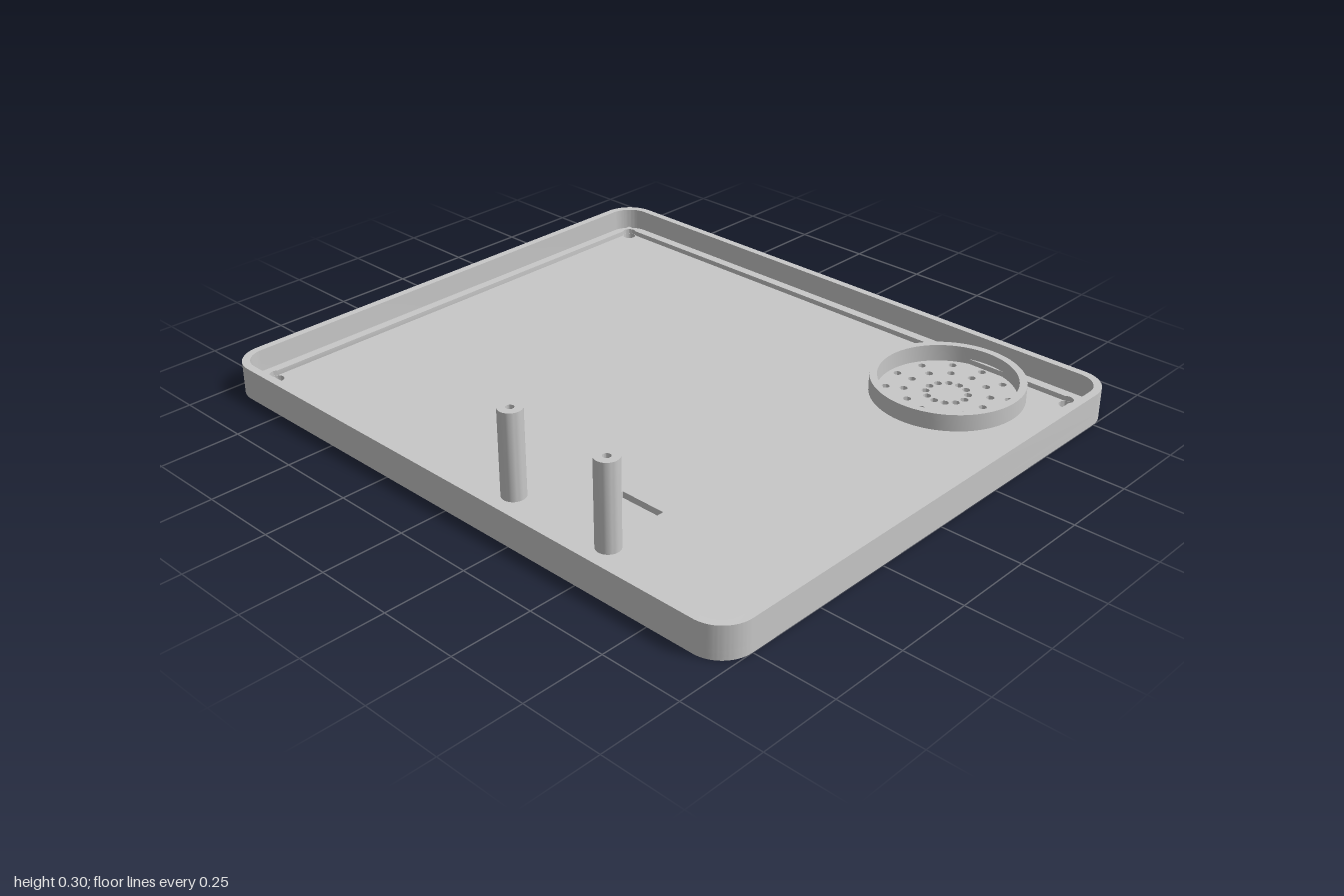
import * as THREE from 'three';
import { toCreasedNormals } from 'three/addons/utils/BufferGeometryUtils.js';

const W = 1, D = 0.851, RIM = 0.1, FLOOR = 0.03, STEP = 0.01;
const SPEAKER = [0.609, -0.57];
const POSTS = [[0.11, 0.703], [0.47, 0.703]];
const CORNERS = [[0.903, 0.753], [-0.903, 0.753], [-0.903, -0.753], [0.903, -0.753]];

// Plan shapes are drawn with y = -z
function roundedRect(w, d, r, Type = THREE.Shape) {
  const s = new Type();
  s.absarc(w - r, d - r, r, 0, Math.PI / 2);
  s.absarc(-w + r, d - r, r, Math.PI / 2, Math.PI);
  s.absarc(-w + r, -d + r, r, Math.PI, Math.PI * 1.5);
  s.absarc(w - r, -d + r, r, Math.PI * 1.5, Math.PI * 2);
  s.closePath();
  return s;
}

function circle([x, z], r, Type = THREE.Path) {
  const p = new Type();
  p.absarc(x, -z, r, 0.1, 0.1 + Math.PI * 2);
  return p;
}

function rect(x0, x1, z0, z1, Type = THREE.Path) {
  return new Type([[x0, -z0], [x0, -z1], [x1, -z1], [x1, -z0]].map(p => new THREE.Vector2(...p)));
}

export function createModel() {
  const group = new THREE.Group();
  const grey = new THREE.MeshStandardMaterial({ color: 0xc8c8c8 });
  grey.name = 'lightGreyPlastic';

  // Raises a plan shape from y0 to y1
  function raise(name, shape, holes, y0, y1, curveSegments = 14) {
    shape.holes.push(...holes);
    const geo = new THREE.ExtrudeGeometry(shape, { depth: y1 - y0, bevelEnabled: false, curveSegments });
    geo.rotateX(-Math.PI / 2).translate(0, y0, 0);
    const mesh = new THREE.Mesh(toCreasedNormals(geo, 0.7), grey);
    mesh.name = name;
    group.add(mesh);
  }

  // Three rings of sound holes
  const grille = () => [0.063, 0.128, 0.182].flatMap(r =>
    Array.from({ length: 12 }, (_, i) => {
      const a = i * Math.PI / 6;
      return circle([SPEAKER[0] + r * Math.cos(a), SPEAKER[1] + r * Math.sin(a)], 0.012);
    }));

  // Floor in two layers: wide screw recesses below, narrow holes above
  raise('floorUnderside', roundedRect(W, D, 0.1),
    [...grille(), ...CORNERS.map(c => circle(c, 0.034)),
      ...POSTS.map(([x, z]) => rect(x - 0.028, x + 0.028, z - 0.028, z + 0.028))], 0, STEP);
  raise('floorTop', roundedRect(W, D, 0.1),
    [...grille(), ...CORNERS.map(c => circle(c, 0.021)), ...POSTS.map(c => circle(c, 0.012)),
      rect(0.307, 0.457, 0.488, 0.556)], STEP, FLOOR);

  // Outer wall
  raise('outerWall', roundedRect(W, D, 0.1),
    [roundedRect(W - 0.024, D - 0.024, 0.076, THREE.Path)], FLOOR, RIM);

  // Low inner ridge, notched around the corner screw holes
  const inner = new THREE.Path();
  [[1, 1], [-1, 1], [-1, -1], [1, -1]].forEach(([sx, sy], i) => {
    const a = i * Math.PI / 2;
    inner.absarc(sx * 0.903, sy * 0.753, 0.022, a - 0.7, a + Math.PI / 2 + 0.7);
  });
  inner.closePath();
  raise('innerRidge', rect(-0.935, 0.935, -0.785, 0.785, THREE.Shape), [inner], FLOOR, FLOOR + 0.016);

  // Speaker ring
  raise('speakerRing', circle(SPEAKER, 0.232, THREE.Shape), [circle(SPEAKER, 0.209)], FLOOR, FLOOR + 0.053, 32);

  // Hollow standing posts
  POSTS.forEach(p => raise('post', circle(p, 0.036, THREE.Shape), [circle(p, 0.012)], FLOOR, 0.3, 16));

  return group;
}
